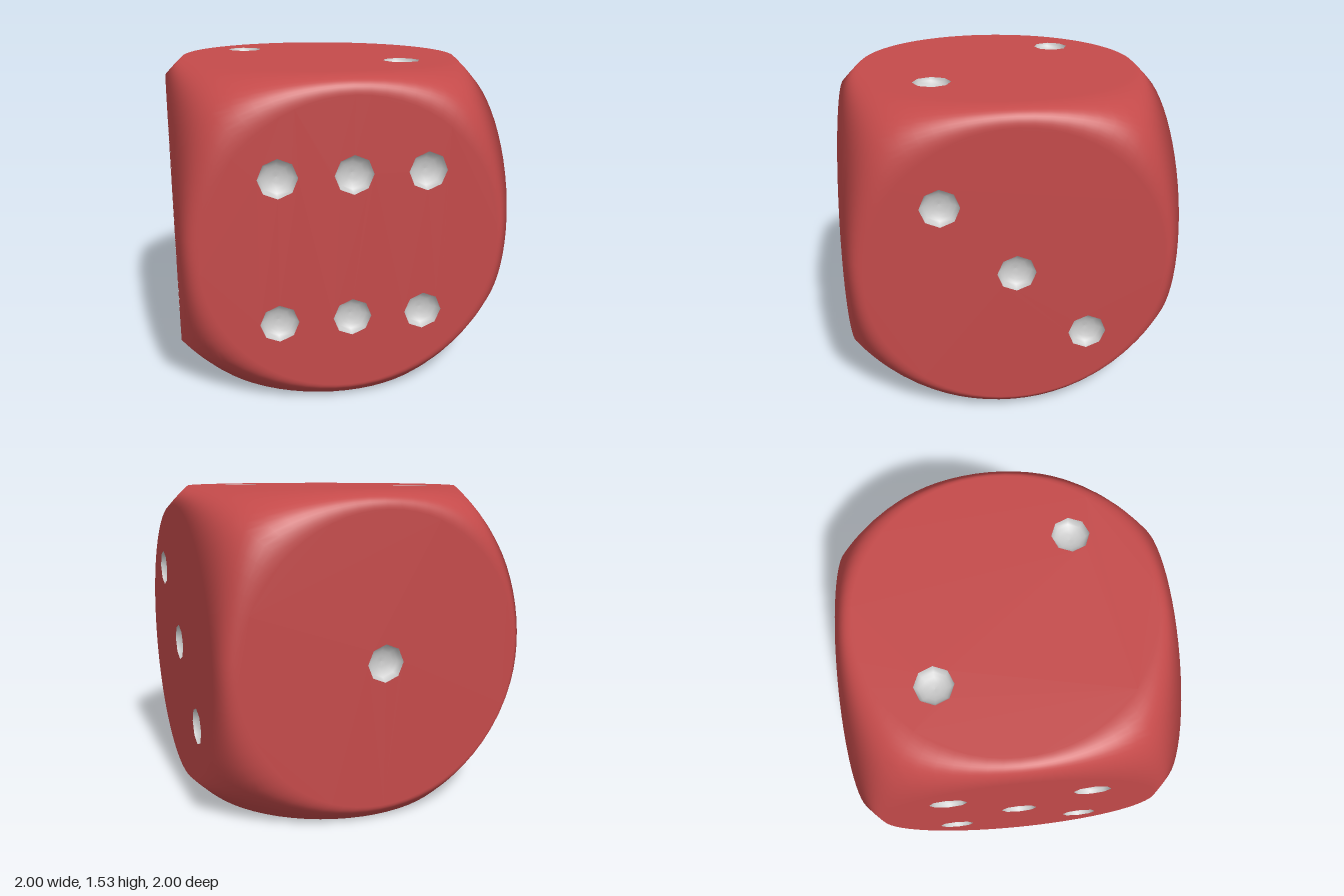
import * as THREE from 'three';

const H = 0.763;    // half width of the cube
const RIM = 0.677;  // radius of each flat round face
const R = Math.hypot(H, RIM); // sphere that trims the cube
const SEG = 64;
const P = 0.333;    // pip spacing
const PIP_R = 0.088, PIP_DEPTH = 0.05;

// Polygon points around (cx, cy)
function ring(cx, cy, r, n) {
  return Array.from({ length: n }, (_, i) => {
    const t = (i / n) * Math.PI * 2;
    return new THREE.Vector2(cx + r * Math.cos(t), cy + r * Math.sin(t));
  });
}

// Flat round face pointing up, pierced by the pips
function flatFace(pips) {
  const shape = new THREE.Shape(ring(0, 0, RIM, SEG));
  for (const [x, z] of pips) shape.holes.push(new THREE.Path(ring(x, -z, PIP_R, 8)));
  return new THREE.ShapeGeometry(shape).rotateX(-Math.PI / 2).translate(0, H, 0);
}

// Spherical border from the face rim to where the neighbouring faces take over
function roundedBorder() {
  const rows = 6, pos = [], nor = [], index = [];
  const weight = (c) => Math.sign(c) / (H - Math.abs(c) + 0.002);
  for (let i = 0; i <= rows; i++) {
    for (let j = 0; j <= SEG; j++) {
      const t = (j / SEG) * Math.PI * 2;
      const m = Math.max(Math.abs(Math.cos(t)), Math.abs(Math.sin(t)));
      const r = THREE.MathUtils.lerp(RIM, R / Math.hypot(1, m), i / rows);
      const p = new THREE.Vector3(r * Math.cos(t), Math.sqrt(R * R - r * r), r * Math.sin(t));
      pos.push(p.x, p.y, p.z);
      // normals ease from one flat face to the next; near-zero components stay neutral
      const n = new THREE.Vector3(
        Math.abs(p.x) < 1e-6 ? 0 : weight(p.x), weight(p.y),
        Math.abs(p.z) < 1e-6 ? 0 : weight(p.z)).normalize();
      nor.push(n.x, n.y, n.z);
      if (i < rows && j < SEG) {
        const a = i * (SEG + 1) + j, b = a + SEG + 1;
        index.push(a, a + 1, b, b, a + 1, b + 1);
      }
    }
  }
  const g = new THREE.BufferGeometry();
  g.setAttribute('position', new THREE.Float32BufferAttribute(pos, 3));
  g.setAttribute('normal', new THREE.Float32BufferAttribute(nor, 3));
  g.setIndex(index);
  return g;
}

// Shallow eight-sided dish, open upwards
function pipDish() {
  const pts = [];
  for (let i = 0; i <= 5; i++) {
    const t = (i / 5) * Math.PI / 2;
    pts.push(new THREE.Vector2(i === 5 ? 0 : PIP_R * Math.cos(t), -PIP_DEPTH * Math.sin(t)));
  }
  return new THREE.LatheGeometry(pts, 8);
}

export function createModel() {
  const red = new THREE.MeshStandardMaterial({ color: 0xc44a4a });
  red.name = 'red';
  const white = new THREE.MeshStandardMaterial({ color: 0xcccccc, side: THREE.DoubleSide });
  white.name = 'pipWhite';

  const q = Math.PI / 2;
  const corners = [[-P, -P], [P, -P], [-P, P], [P, P]];
  const faces = [
    { name: 'twoFace', rot: [0, 0, 0], pips: [[-P, P], [P, -P]] },
    { name: 'fourFace', rot: [2 * q, 0, 0], pips: corners },
    { name: 'fiveFace', rot: [q, 0, 0], pips: [...corners, [0, 0]] },
    { name: 'threeFace', rot: [-q, 0, 0], pips: [[P, P], [0, 0], [-P, -P]] },
    { name: 'sixFace', rot: [0, 0, -q], pips: [...corners, [-P, 0], [P, 0]] },
    { name: 'oneFace', rot: [0, 0, q], pips: [[0, 0]] },
  ];

  const die = new THREE.Group();
  die.name = 'die';
  const border = roundedBorder(), dish = pipDish();
  for (const { name, rot, pips } of faces) {
    const face = new THREE.Group();
    face.name = name;
    face.rotation.set(...rot);
    const add = (geometry, material, part) => {
      const mesh = new THREE.Mesh(geometry, material);
      mesh.name = part;
      face.add(mesh);
      return mesh;
    };
    add(flatFace(pips), red, 'flatFace');
    add(border, red, 'roundedBorder');
    for (const [x, z] of pips) add(dish, white, 'pip').position.set(x, H, z);
    die.add(face);
  }
  die.position.y = H;
  die.rotation.y = -Math.PI / 6;

  const model = new THREE.Group();
  model.add(die);
  return model;
}
